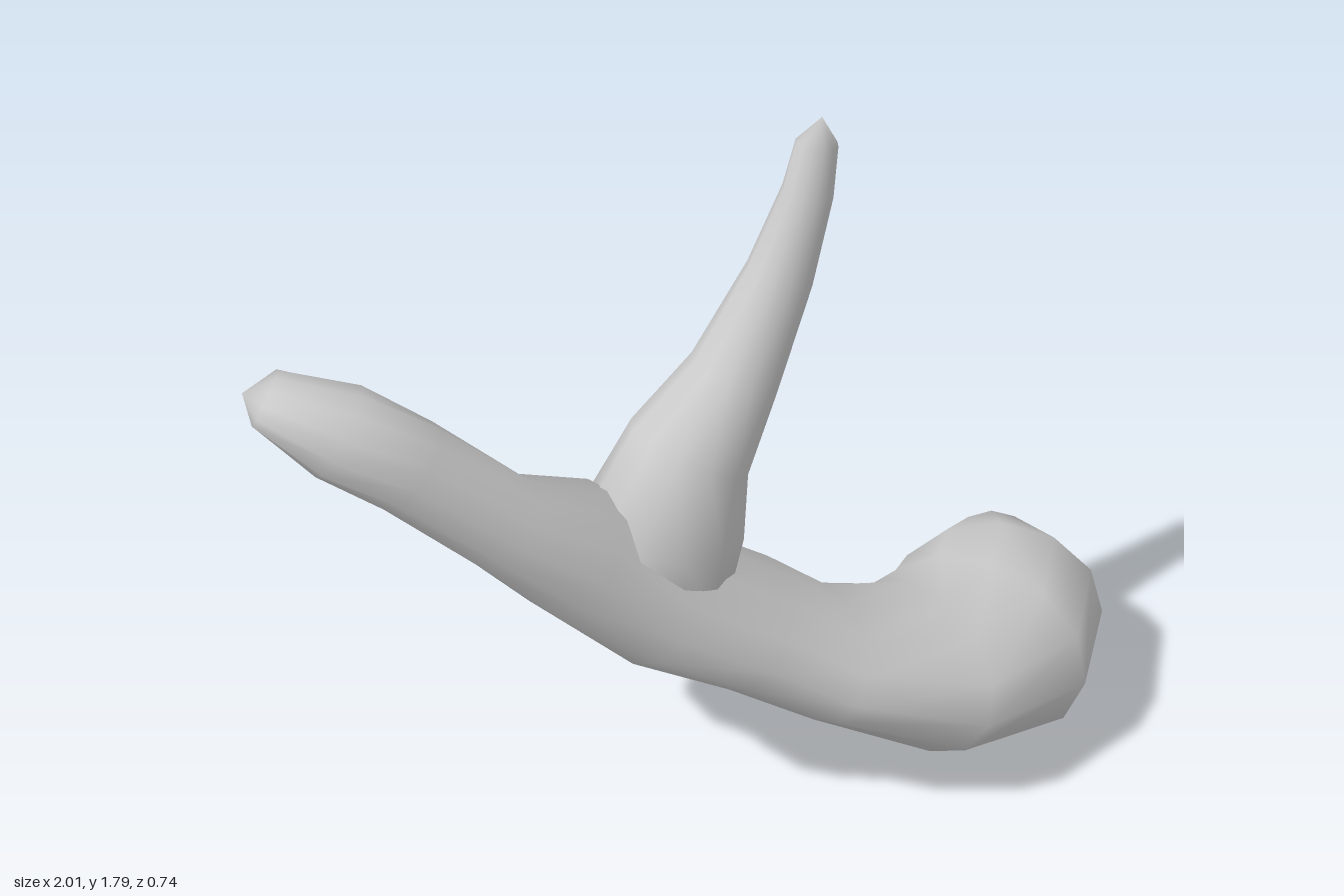
import * as THREE from 'three';

const SIDES = 12;
const material = new THREE.MeshStandardMaterial({ color: 0xcccccc });

// Lofts elliptical rings along stations [x, y, z, radius along ref, radius across]; closes both ends with a point.
function loft(name, stations, ref, start, end) {
  const centres = stations.map(s => new THREE.Vector3(s[0], s[1], s[2]));
  const positions = [], index = [];
  stations.forEach((s, i) => {
    const before = centres[Math.max(i - 1, 0)];
    const after = centres[Math.min(i + 1, centres.length - 1)];
    const t = after.clone().sub(before).normalize();
    const v = ref.clone().addScaledVector(t, -ref.dot(t)).normalize();
    const u = new THREE.Vector3().crossVectors(v, t);
    for (let k = 0; k < SIDES; k++) {
      const a = k / SIDES * Math.PI * 2;
      const p = centres[i].clone()
        .addScaledVector(v, Math.sin(a) * s[3])
        .addScaledVector(u, Math.cos(a) * s[4]);
      positions.push(p.x, p.y, p.z);
    }
  });
  const last = (stations.length - 1) * SIDES;
  const startId = stations.length * SIDES, endId = startId + 1;
  positions.push(...start, ...end);
  for (let k = 0; k < SIDES; k++) {
    const n = (k + 1) % SIDES;
    for (let r = 0; r < last; r += SIDES) {
      index.push(r + k, r + n, r + SIDES + k, r + n, r + SIDES + n, r + SIDES + k);
    }
    index.push(startId, n, k, endId, last + k, last + n);
  }
  const geometry = new THREE.BufferGeometry();
  geometry.setAttribute('position', new THREE.Float32BufferAttribute(positions, 3));
  geometry.setIndex(index);
  geometry.computeVertexNormals();
  const mesh = new THREE.Mesh(geometry, material);
  mesh.name = name;
  return mesh;
}

export function createModel() {
  const group = new THREE.Group();
  group.name = 'antler';

  // Main beam, from the left tip down to the thick base that bends backward
  group.add(loft('mainBeam', [
    [-0.96, 1.42, 0.095, 0.057, 0.075],
    [-0.83, 1.35, 0.16, 0.103, 0.105],
    [-0.7, 1.255, 0.195, 0.105, 0.092],
    [-0.505, 1.055, 0.195, 0.107, 0.11],
    [-0.345, 0.91, 0.145, 0.148, 0.16],
    [-0.15, 0.715, 0.13, 0.155, 0.178],
    [0.06, 0.585, 0.145, 0.145, 0.178],
    [0.23, 0.455, 0.15, 0.132, 0.205],
    [0.485, 0.315, 0.12, 0.172, 0.255],
    [0.68, 0.25, 0.025, 0.212, 0.275],
    [0.79, 0.227, -0.125, 0.227, 0.25],
    [0.85, 0.22, -0.305, 0.13, 0.11],
  ], new THREE.Vector3(0, 1, 0), [-1, 1.425, 0.07], [0.79, 0.22, -0.37]));

  // Upright tine, growing out of the middle of the beam
  group.add(loft('tine', [
    [-0.12, 0.7, 0.13, 0.14, 0.11],
    [-0.14, 0.9, 0.13, 0.19, 0.16],
    [-0.06, 1.07, 0.1, 0.14, 0.13],
    [0.045, 1.225, 0.085, 0.1, 0.1],
    [0.155, 1.44, 0.06, 0.075, 0.066],
    [0.22, 1.62, 0.045, 0.056, 0.05],
    [0.24, 1.73, 0.04, 0.046, 0.04],
  ], new THREE.Vector3(1, 0, 0), [-0.12, 0.65, 0.13], [0.25, 1.79, 0.04]));

  return group;
}
